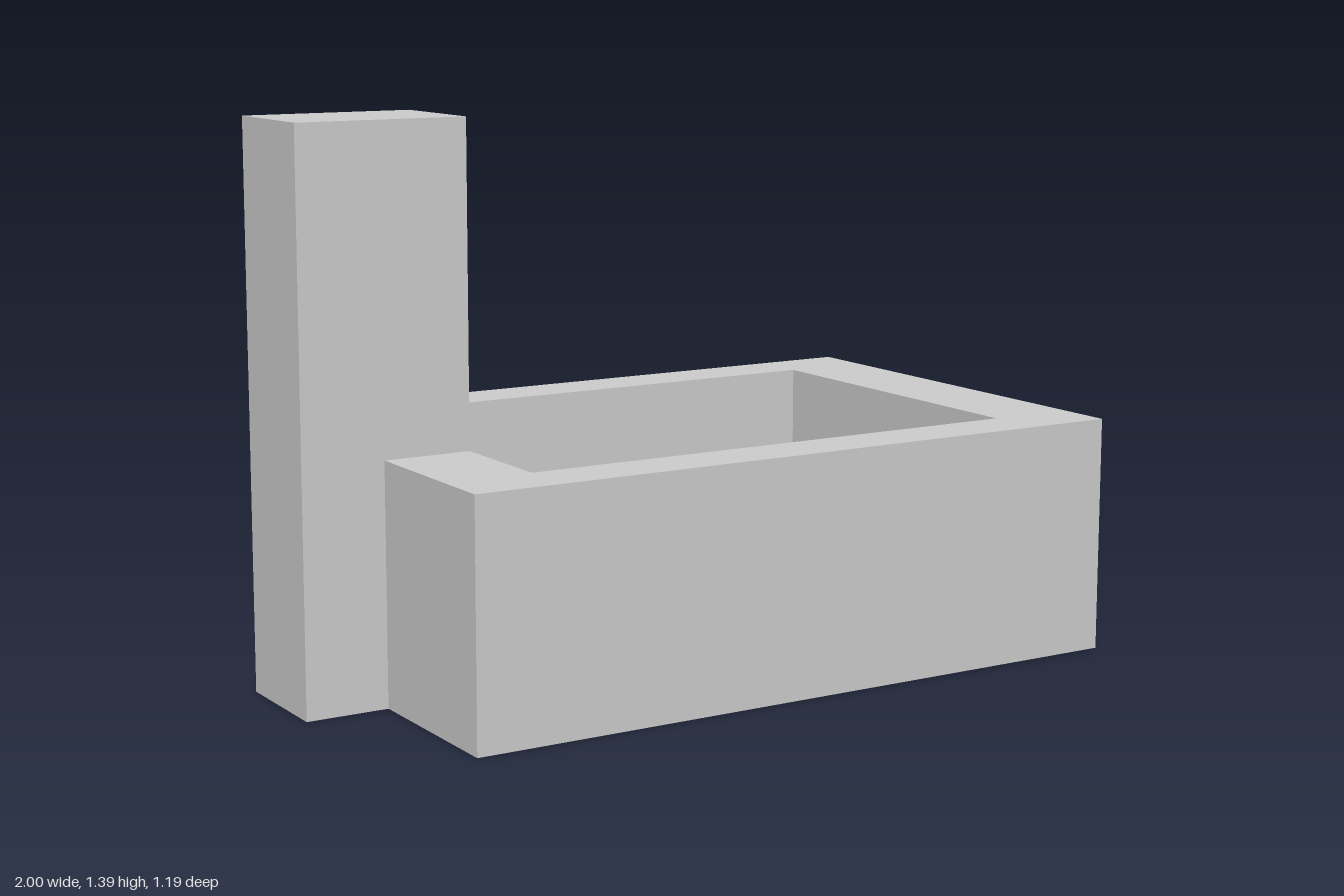
import * as THREE from 'three';

const material = new THREE.MeshStandardMaterial({ color: 0xcccccc, flatShading: true });

// Rectangle outline from its x and y limits
function rectangle(Type, x0, x1, y0, y1) {
  return new Type([[x0, y0], [x1, y0], [x1, y1], [x0, y1]].map(([x, y]) => new THREE.Vector2(x, y)));
}

function addBlock(group, name, [x0, x1], [y0, y1], [z0, z1]) {
  const mesh = new THREE.Mesh(new THREE.BoxGeometry(x1 - x0, y1 - y0, z1 - z0), material);
  mesh.position.set((x0 + x1) / 2, (y0 + y1) / 2, (z0 + z1) / 2);
  mesh.name = name;
  group.add(mesh);
}

export function createModel() {
  const group = new THREE.Group();
  group.name = 'basinWithTower';
  const height = 0.597, floorTop = 0.1;

  // Basin walls: a rectangular ring pulled upwards
  const outline = rectangle(THREE.Shape, -0.79, 1, -0.597, 0.597);
  outline.holes.push(rectangle(THREE.Path, -0.567, 0.776, -0.452, 0.452));
  const ring = new THREE.ExtrudeGeometry(outline, { depth: height, bevelEnabled: false });
  ring.rotateX(-Math.PI / 2);
  const walls = new THREE.Mesh(ring, material);
  walls.name = 'basinWalls';
  group.add(walls);

  // Floor closing the basin
  addBlock(group, 'basinFloor', [-0.567, 0.776], [0, floorTop], [-0.452, 0.452]);

  // Tower standing through the end wall, flush with its inner face
  addBlock(group, 'tower', [-1, -0.567], [0, 1.387], [-0.148, 0.148]);

  return group;
}
